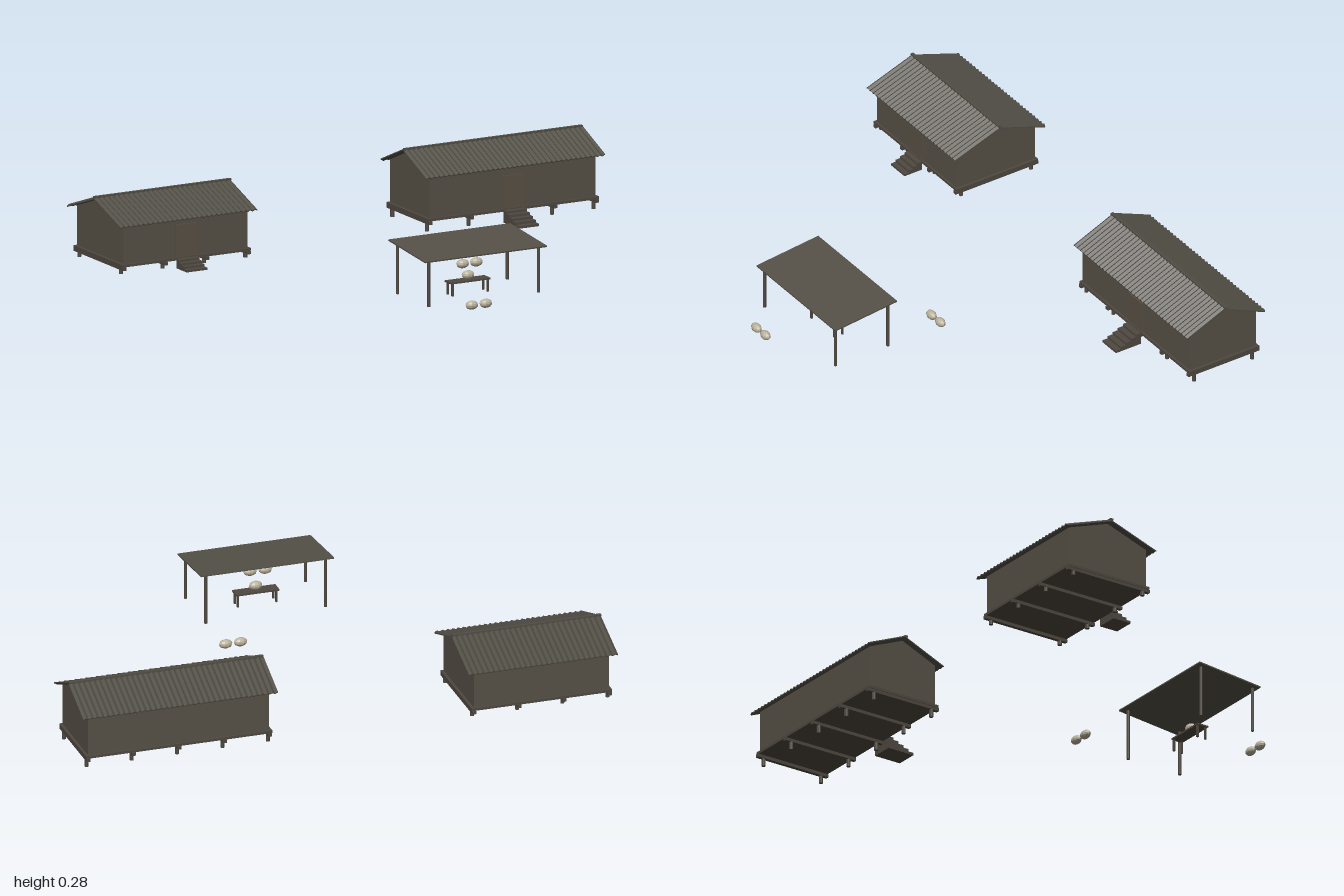
import * as THREE from 'three';

const paint = (name, color, extra = {}) => {
  const m = new THREE.MeshStandardMaterial({ color, ...extra });
  m.name = name;
  return m;
};

export function createModel() {
  const wall = paint('wall boards', 0x575146, { flatShading: true });
  const timber = paint('timber', 0x4f4940, { flatShading: true });
  const doorWood = paint('door wood', 0x5a5145);
  const metal = paint('corrugated metal', 0x504d44, { flatShading: true });
  const sheet = paint('shelter sheet', 0x555147);
  const clay = paint('pale clay', 0xbab29c, { flatShading: true });

  const model = new THREE.Group();
  model.name = 'stiltCamp';

  function add(parent, name, geo, mat, x = 0, y = 0, z = 0) {
    const mesh = new THREE.Mesh(geo, mat);
    mesh.name = name;
    mesh.position.set(x, y, z);
    parent.add(mesh);
    return mesh;
  }
  // Box given by its centre in x and z and its bottom and top in y
  const box = (parent, name, mat, w, y0, y1, d, x, z) =>
    add(parent, name, new THREE.BoxGeometry(w, y1 - y0, d), mat, x, (y0 + y1) / 2, z);

  // Folded sheet running down one slope from the ridge
  function corrugated(width, length) {
    const n = Math.round(width / 0.01), t = 0.004, pts = [];
    const fold = i => (i % 2 ? 0 : -0.006);
    for (let i = 0; i <= n; i++) pts.push(new THREE.Vector2(-width / 2 + (i * width) / n, fold(i)));
    for (let i = n; i >= 0; i--) pts.push(new THREE.Vector2(-width / 2 + (i * width) / n, fold(i) - t));
    return new THREE.ExtrudeGeometry(new THREE.Shape(pts), { depth: length, bevelEnabled: false });
  }

  function hut(name, o) {
    const g = new THREE.Group();
    g.name = name;
    g.position.set(o.x, 0, -0.53);
    model.add(g);
    const slope = (o.ridge - o.eave) / o.roofHalf;
    const angle = Math.atan(slope);

    // Walls and gables as one extruded profile
    const top = o.ridge - 0.011;
    const side = top - slope * o.wallHalf;
    const profile = new THREE.Shape([
      new THREE.Vector2(-o.wallHalf, o.floor),
      new THREE.Vector2(o.wallHalf, o.floor),
      new THREE.Vector2(o.wallHalf, side),
      new THREE.Vector2(0, top),
      new THREE.Vector2(-o.wallHalf, side),
    ]);
    const body = new THREE.ExtrudeGeometry(profile, { depth: o.wallWidth, bevelEnabled: false });
    body.translate(0, 0, -o.wallWidth / 2);
    body.rotateY(Math.PI / 2);
    add(g, 'walls', body, wall);

    // Two roof slopes
    const slopeGeo = corrugated(o.roofWidth, o.roofHalf / Math.cos(angle));
    slopeGeo.rotateX(angle);
    add(g, 'frontRoof', slopeGeo, metal, 0, o.ridge, 0);
    add(g, 'backRoof', slopeGeo, metal, 0, o.ridge, 0).rotation.y = Math.PI;
    box(g, 'ridgeCap', metal, o.roofWidth, o.ridge - 0.006, o.ridge + 0.001, 0.012, 0, 0);

    // Floor, cross beams and stilts
    const fw = o.wallWidth + 0.02;
    box(g, 'floor', timber, fw, o.floor - 0.01, o.floor, o.floorHalf * 2, 0, 0);
    for (let i = 0; i < o.posts; i++) {
      const x = (i / (o.posts - 1) - 0.5) * (o.wallWidth + 0.002);
      box(g, 'crossBeam', timber, 0.014, o.floor - 0.022, o.floor - 0.01, o.floorHalf * 2 + 0.006, x, 0);
      for (const s of [-1, 1])
        add(g, 'stilt', new THREE.CylinderGeometry(0.0075, 0.0075, o.floor - 0.02, 8), timber,
          x, (o.floor - 0.02) / 2, s * o.postHalf);
    }

    // Door and front steps
    box(g, 'door', doorWood, 0.085, o.floor, o.floor + 0.12, 0.006, 0, o.wallHalf + 0.001);
    const run = (o.stepsEnd - o.floorHalf) / o.steps;
    for (let i = 0; i < o.steps; i++)
      box(g, 'step', timber, 0.084, 0, ((i + 1) * (o.floor - 0.004)) / o.steps, run,
        0, o.stepsEnd - run * (i + 0.5));
  }

  hut('smallHut', {
    x: -0.72, ridge: 0.254, eave: 0.185, roofHalf: 0.197, roofWidth: 0.56, wallHalf: 0.168,
    wallWidth: 0.507, floor: 0.038, floorHalf: 0.175, posts: 4, postHalf: 0.15, steps: 4, stepsEnd: 0.25,
  });
  hut('longHut', {
    x: 0.634, ridge: 0.278, eave: 0.207, roofHalf: 0.167, roofWidth: 0.73, wallHalf: 0.142,
    wallWidth: 0.68, floor: 0.05, floorHalf: 0.15, posts: 5, postHalf: 0.125, steps: 5, stepsEnd: 0.258,
  });

  // Open shelter with a lean-to roof, higher at the back
  const shelter = new THREE.Group();
  shelter.name = 'shelter';
  model.add(shelter);
  const tilt = Math.atan2(0.027, 0.265);
  const roof = add(shelter, 'shelterRoof', new THREE.BoxGeometry(0.5, 0.005, 0.267), sheet, -0.045, 0.182, 0.483);
  roof.rotation.x = tilt;
  for (const x of [-0.27, 0.18])
    for (const z of [0.373, 0.598]) {
      const h = 0.182 - (z - 0.483) * Math.tan(tilt);
      add(shelter, 'shelterPost', new THREE.CylinderGeometry(0.006, 0.006, h, 8), timber, x, h / 2, z);
    }

  // Small table
  const table = new THREE.Group();
  table.name = 'table';
  model.add(table);
  box(table, 'tableTop', timber, 0.162, 0.045, 0.051, 0.047, -0.045, 0.483);
  for (const x of [-0.117, 0.028])
    for (const z of [0.466, 0.5]) box(table, 'tableLeg', timber, 0.007, 0, 0.045, 0.007, x, z);

  // Pale oval vessels on the ground and the table
  const vessel = new THREE.SphereGeometry(1, 10, 8);
  vessel.scale(0.025, 0.0165, 0.0165);
  for (const [x, y, z] of [
    [-0.157, 0.0165, 0.71], [-0.1, 0.0165, 0.71],
    [0.125, 0.0165, 0.148], [0.181, 0.0165, 0.148], [-0.045, 0.067, 0.485],
  ]) add(model, 'vessel', vessel, clay, x, y, z);

  return model;
}
